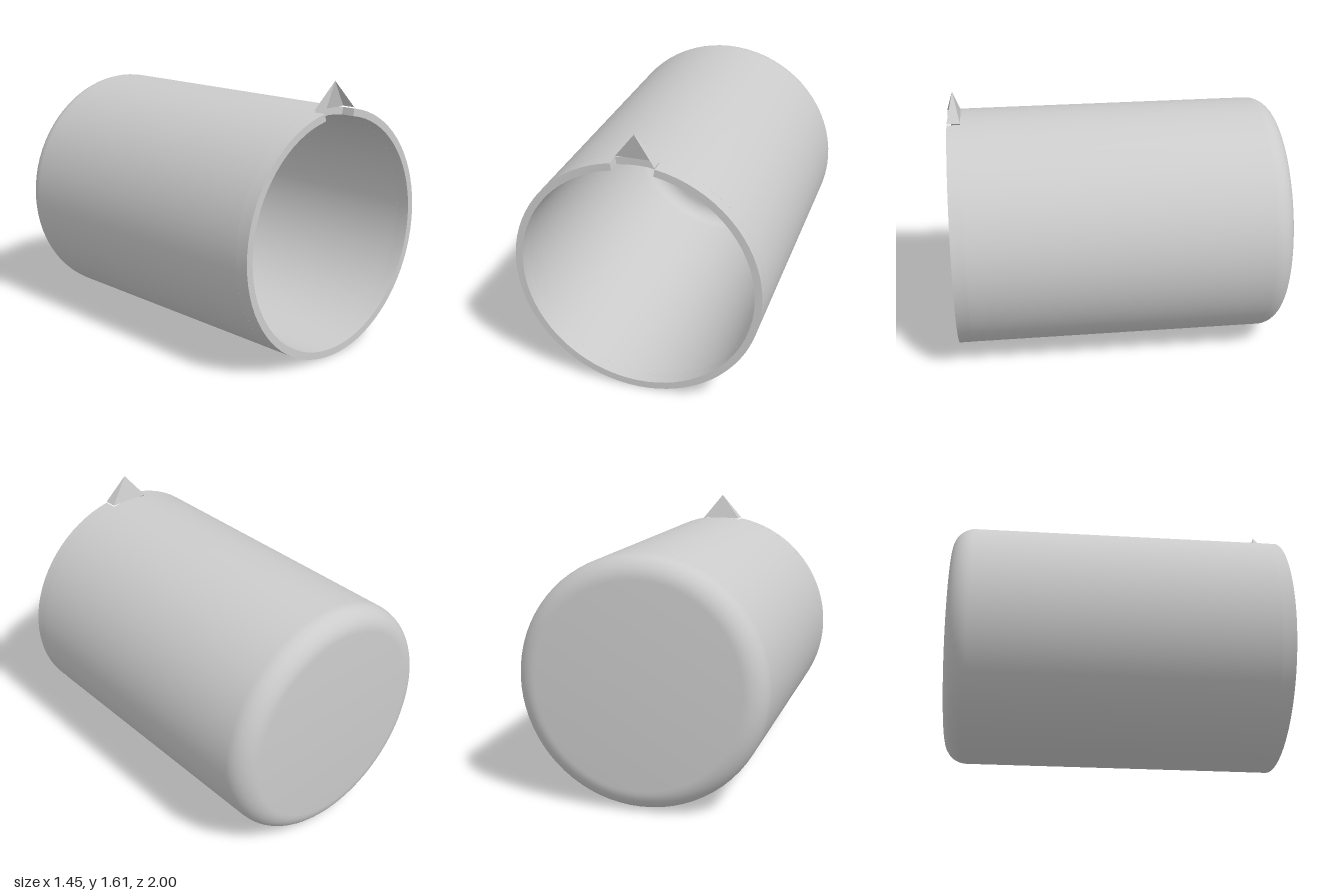
import * as THREE from 'three';
import { toCreasedNormals } from 'three/addons/utils/BufferGeometryUtils.js';

const R = 0.727, INNER = 0.684, CY = 0.727; // radii and axis height
const LIP = 0.92, FRONT = 1, HALF = 0.125;  // notch depth and half width
const GAP = Math.asin(HALF / R);

const material = new THREE.MeshStandardMaterial({ color: 0xcccccc, side: THREE.DoubleSide });

// Quarter round from the floor (radius r - f) to the wall (radius r)
function fillet(r, z, f, steps = 10) {
  const pts = [];
  for (let i = 0; i <= steps; i++) {
    const a = (i / steps) * Math.PI / 2;
    pts.push(new THREE.Vector2(r - f + f * Math.sin(a), z + f - f * Math.cos(a)));
  }
  return pts;
}

// Lathe turned so that its axis runs along z
function turned(points, start = 0, length = Math.PI * 2) {
  const g = new THREE.LatheGeometry(points, 72, start, length);
  g.rotateX(Math.PI / 2).translate(0, CY, 0);
  return toCreasedNormals(g, 0.6);
}

function faces(corners) {
  const g = new THREE.BufferGeometry();
  g.setAttribute('position', new THREE.Float32BufferAttribute(corners.flat(), 3));
  g.computeVertexNormals();
  return g;
}

export function createModel() {
  const group = new THREE.Group();
  const add = (name, geometry) => {
    const mesh = new THREE.Mesh(geometry, material);
    mesh.name = name;
    group.add(mesh);
  };
  const v = (x, y) => new THREE.Vector2(x, y);

  // Hollow cup with rounded closed end
  add('cupBody', turned([
    v(0, -1), ...fillet(R, -1, 0.13), v(R, LIP),
    v(INNER, LIP), ...fillet(INNER, -0.957, 0.1).reverse(), v(0, -0.957),
  ]));

  // Front lip, interrupted by the notch at the top
  add('frontLip', turned(
    [v(R, LIP), v(R, FRONT), v(INNER, FRONT), v(INNER, LIP)],
    Math.PI + GAP, 2 * (Math.PI - GAP)));

  // Side walls of the notch
  for (const s of [1, -1]) {
    const at = (r, z) => [s * r * Math.sin(GAP), CY + r * Math.cos(GAP), z];
    const a = at(INNER, LIP), b = at(R, LIP), c = at(R, FRONT), d = at(INNER, FRONT);
    add(s > 0 ? 'leftNotchWall' : 'rightNotchWall',
      faces(s > 0 ? [a, b, c, a, c, d] : [a, c, b, a, d, c]));
  }

  // Hollow pointer above the notch, open to the front and below
  const y = 1.45, tip = [0, 1.608, 0.96];
  const fl = [HALF, y, FRONT], bl = [HALF, y, LIP], br = [-HALF, y, LIP], fr = [-HALF, y, FRONT];
  add('pointer', faces([fl, bl, tip, bl, br, tip, br, fr, tip]));

  return group;
}
